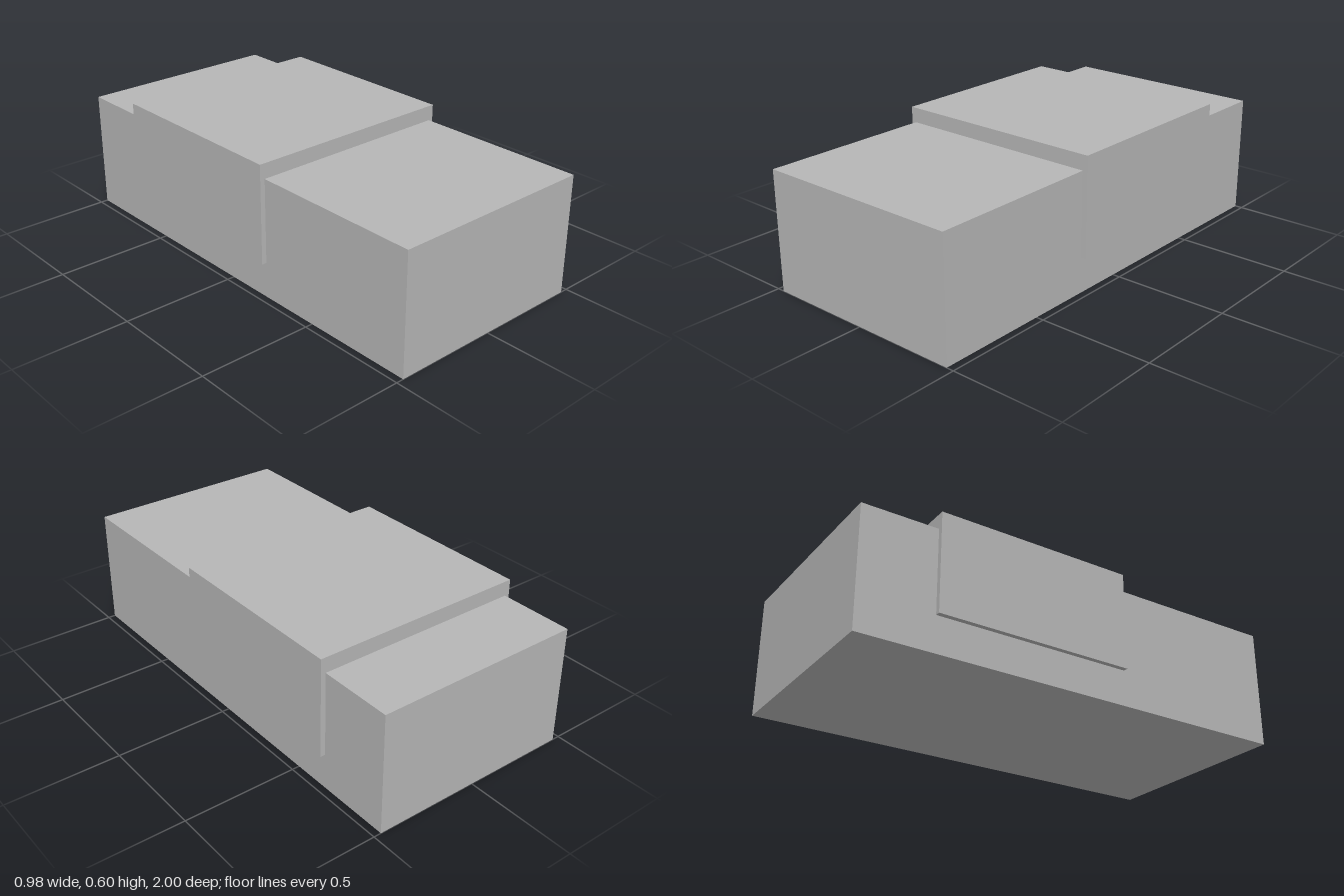
import * as THREE from 'three';

export function createModel() {
  const model = new THREE.Group();
  model.name = 'bandedBlock';

  const grey = new THREE.MeshStandardMaterial({ color: 0xb6b6b6 });
  grey.name = 'plain grey';

  // Box given by its lower and upper corners
  const addBox = (name, [x0, y0, z0], [x1, y1, z1]) => {
    const mesh = new THREE.Mesh(new THREE.BoxGeometry(x1 - x0, y1 - y0, z1 - z0), grey);
    mesh.name = name;
    mesh.position.set((x0 + x1) / 2, (y0 + y1) / 2, (z0 + z1) / 2);
    model.add(mesh);
  };

  // Long main block
  addBox('body', [-0.467, 0, -1], [0.467, 0.533, 1]);

  // Raised band wrapping the top and the upper sides
  addBox('saddleBand', [-0.489, 0.159, -0.667], [0.489, 0.6, 0.222]);

  return model;
}
